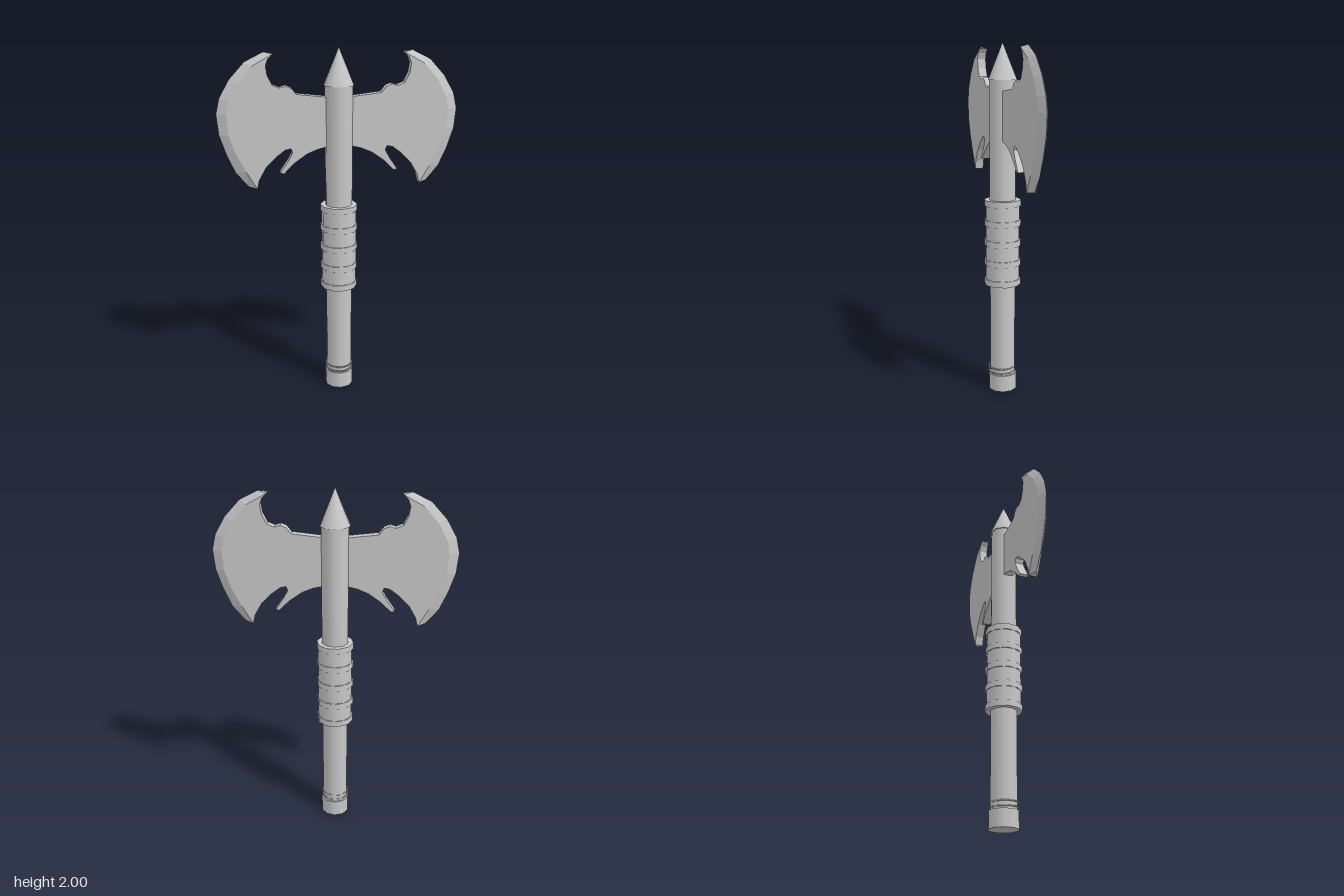
import * as THREE from 'three';

const steel = new THREE.MeshStandardMaterial({ color: 0xc8c8c8 });
steel.name = 'grey steel';
const SIDES = 10;
const HALF = 0.025; // half the blade thickness

// Bevel: inner edge (full thickness) and outer cutting edge (z = 0), top to bottom
const inner = [[0.35, 1.97], [0.46, 1.91], [0.535, 1.825], [0.585, 1.735], [0.602, 1.66],
  [0.594, 1.55], [0.56, 1.45], [0.51, 1.35], [0.452, 1.25]];
const outer = [[0.397, 1.98], [0.497, 1.93], [0.58, 1.84], [0.635, 1.745], [0.655, 1.66],
  [0.645, 1.55], [0.61, 1.44], [0.566, 1.34], [0.497, 1.257]];

// Rest of the blade outline: lower hook, spike, socket, upper notch
const lower = [[0.44, 1.30], [0.40, 1.37], [0.345, 1.425], [0.295, 1.462], [0.265, 1.468],
  [0.255, 1.445], [0.28, 1.40], [0.325, 1.335], [0.305, 1.33], [0.25, 1.385],
  [0.18, 1.435], [0.12, 1.46], [0.07, 1.472], [0.03, 1.472]];
const upper = [[0.03, 1.742], [0.07, 1.742], [0.23, 1.76], [0.255, 1.792], [0.285, 1.805],
  [0.317, 1.795], [0.355, 1.81], [0.38, 1.86], [0.388, 1.91], [0.375, 1.945]];

function mesh(name, geometry, y = 0) {
  const m = new THREE.Mesh(geometry, steel);
  m.name = name;
  m.position.y = y;
  return m;
}

// Upright round part between two heights
function round(name, y0, y1, rBottom, rTop = rBottom, turn = 0) {
  const geometry = new THREE.CylinderGeometry(rTop, rBottom, y1 - y0, SIDES);
  geometry.rotateY(turn);
  return mesh(name, geometry, (y0 + y1) / 2);
}

// Two sloping faces per step, with a small triangle closing each end
function bevelGeometry() {
  const pos = [];
  const tri = (...pts) => pts.forEach((p) => pos.push(...p));
  const front = inner.map(([x, y]) => [x, y, HALF]);
  const back = inner.map(([x, y]) => [x, y, -HALF]);
  const edge = outer.map(([x, y]) => [x, y, 0]);
  const n = inner.length - 1;
  for (let i = 0; i < n; i++) {
    tri(front[i], front[i + 1], edge[i + 1]);
    tri(front[i], edge[i + 1], edge[i]);
    tri(back[i], edge[i + 1], back[i + 1]);
    tri(back[i], edge[i], edge[i + 1]);
  }
  tri(front[0], edge[0], back[0]);
  tri(front[n], back[n], edge[n]);
  const g = new THREE.BufferGeometry();
  g.setAttribute('position', new THREE.Float32BufferAttribute(pos, 3));
  g.computeVertexNormals();
  return g;
}

function blade(name) {
  const group = new THREE.Group();
  group.name = name;
  const outline = [...inner, ...lower, ...upper].map(([x, y]) => new THREE.Vector2(x, y));
  const body = new THREE.ExtrudeGeometry(new THREE.Shape(outline), { depth: 2 * HALF, bevelEnabled: false });
  body.translate(0, 0, -HALF);
  group.add(mesh('bladeBody', body), mesh('cuttingEdge', bevelGeometry()));
  return group;
}

export function createModel() {
  const model = new THREE.Group();
  model.name = 'doubleAxe';

  // Handle with pointed top and pommel
  model.add(
    round('shaft', 0.05, 1.8, 0.074, 0.077),
    round('spike', 1.8, 2, 0.083, 0),
    round('pommel', 0, 0.097, 0.083),
  );

  // Thin wire rings above the pommel, set slightly forward
  for (const y of [0.111, 0.138]) {
    const wire = new THREE.TorusGeometry(0.076, 0.004, 5, 20);
    wire.rotateX(Math.PI / 2);
    const ring = mesh('wireRing', wire, y);
    ring.position.z = 0.006;
    model.add(ring);
  }

  // Grip with raised bands
  model.add(round('grip', 0.645, 1.135, 0.099));
  for (let i = 0; i < 5; i++) {
    const y = 0.66 + i * 0.115;
    model.add(round('gripBand', y - 0.017, y + 0.017, 0.104, 0.104, 0.2));
  }

  // Matching blades on both sides
  const left = blade('leftBlade');
  const right = blade('rightBlade');
  right.rotation.y = Math.PI;
  model.add(left, right);
  return model;
}
